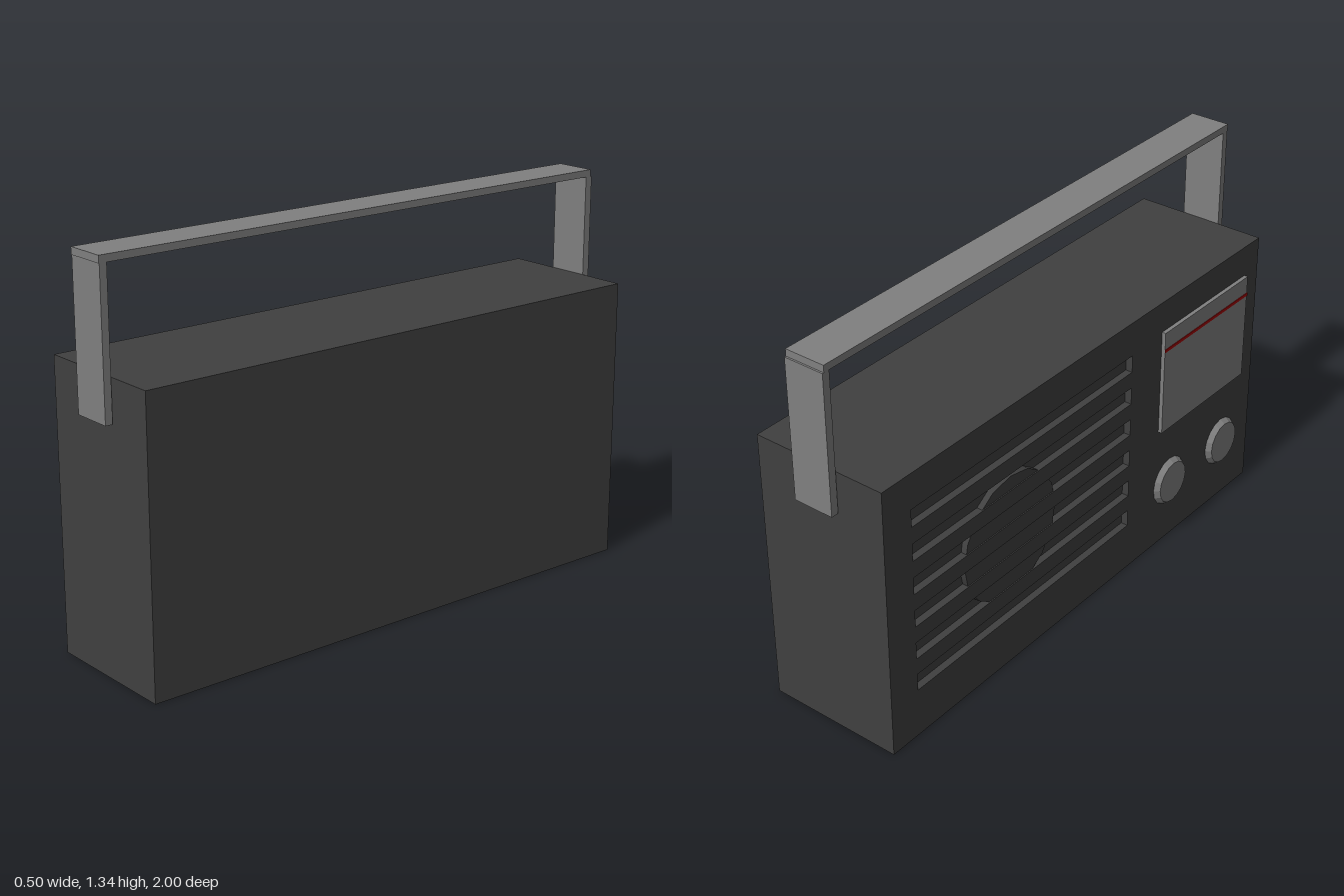
import * as THREE from 'three';

const dark = new THREE.MeshStandardMaterial({ color: 0x404040 });
const grey = new THREE.MeshStandardMaterial({ color: 0x808080 });
const red = new THREE.MeshStandardMaterial({ color: 0xa00000 });

const FACE = -0.234; // x of the control face
const DEPTH = 0.025; // depth of the speaker slots

export function createModel() {
  const model = new THREE.Group();

  const add = (name, geometry, material) => {
    const mesh = new THREE.Mesh(geometry, material);
    mesh.name = name;
    model.add(mesh);
    return mesh;
  };

  // Box given by its minimum and maximum corners
  const box = (name, material, [x0, y0, z0], [x1, y1, z1]) =>
    add(name, new THREE.BoxGeometry(x1 - x0, y1 - y0, z1 - z0), material)
      .position.set((x0 + x1) / 2, (y0 + y1) / 2, (z0 + z1) / 2);

  const rectangle = (path, z0, y0, z1, y1) =>
    path.moveTo(z0, y0).lineTo(z1, y0).lineTo(z1, y1).lineTo(z0, y1).closePath();

  // Case behind the control face
  box('case', dark, [FACE + DEPTH, 0, -0.97], [0.25, 0.972, 0.97]);

  // Control face with six speaker slots
  const plate = rectangle(new THREE.Shape(), -0.97, 0, 0.97, 0.972);
  for (let i = 0; i < 6; i++) {
    const top = 0.848 - i * 0.122;
    plate.holes.push(rectangle(new THREE.Path(), -0.85, top - 0.062, 0.235, top));
  }
  const plateGeometry = new THREE.ExtrudeGeometry(plate, { depth: DEPTH, bevelEnabled: false });
  plateGeometry.rotateY(-Math.PI / 2);
  add('speakerGrille', plateGeometry, dark).position.x = FACE + DEPTH;

  // Speaker disc filling the slots almost to the face
  const disc = new THREE.CylinderGeometry(0.225, 0.225, DEPTH - 0.004, 16);
  disc.rotateZ(Math.PI / 2);
  add('speaker', disc, dark).position.set(FACE + DEPTH / 2 + 0.002, 0.49, -0.39);

  // Tuning dial and its red pointer
  box('dialPanel', grey, [-0.248, 0.47, 0.4], [FACE, 0.86, 0.89]);
  box('dialPointer', red, [-0.25, 0.786, 0.4], [-0.247, 0.797, 0.892]);

  // Two bevelled knobs
  for (const z of [0.475, 0.79]) {
    const knob = new THREE.CylinderGeometry(0.076, 0.09, 0.02, 16);
    knob.rotateZ(Math.PI / 2);
    const mesh = add('knob', knob.toNonIndexed(), grey);
    mesh.geometry.computeVertexNormals();
    mesh.position.set(FACE - 0.009, 0.234, z);
  }

  // Carrying handle
  box('handleLeg', grey, [-0.064, 0.83, 0.973], [0.08, 1.313, 0.998]);
  box('handleLeg', grey, [-0.064, 0.83, -1], [0.08, 1.313, -0.973]);
  box('handleBar', grey, [-0.064, 1.313, -0.994], [0.08, 1.337, 1]);

  return model;
}
